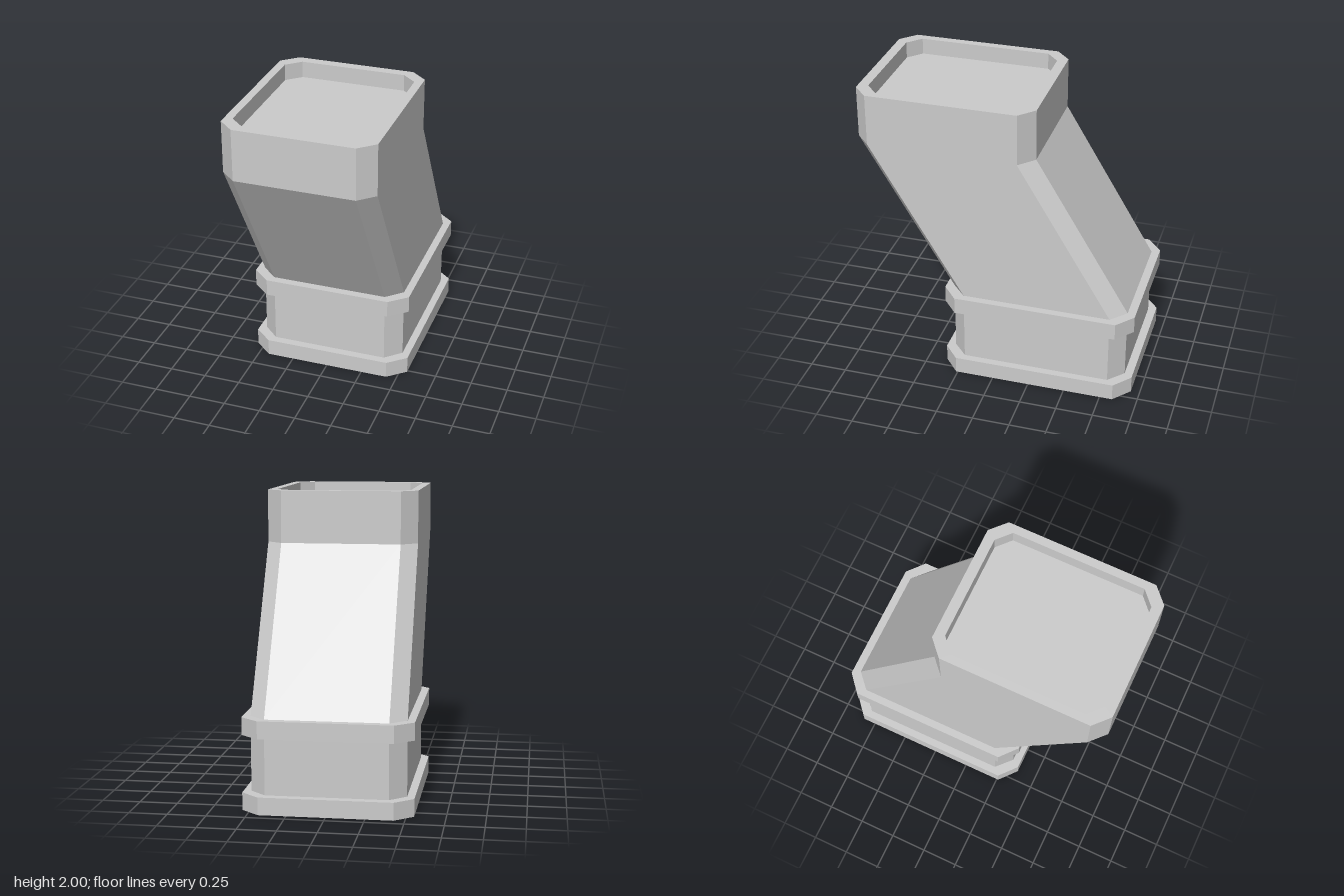
import * as THREE from 'three';

const material = new THREE.MeshStandardMaterial({ color: 0xcccccc, flatShading: true });

// Chamfered rectangle at height y, centred on z; hx, hz are half sizes,
// cx, cz are where the straight sides end.
function ring(y, z, hx, hz, cx, cz) {
  return [
    [hx, -cz], [cx, -hz], [-cx, -hz], [-hx, -cz],
    [-hx, cz], [-cx, hz], [cx, hz], [hx, cz],
  ].map(([px, pz]) => new THREE.Vector3(px, y, z + pz));
}

// Joins the rings in order and closes both ends.
function loft(name, rings) {
  const points = [];
  const n = rings[0].length;
  for (let r = 0; r < rings.length - 1; r++) {
    const a = rings[r], b = rings[r + 1];
    for (let i = 0; i < n; i++) {
      const j = (i + 1) % n;
      points.push(a[i], a[j], b[j], a[i], b[j], b[i]);
    }
  }
  const first = rings[0], last = rings[rings.length - 1];
  for (let i = 1; i < n - 1; i++) {
    points.push(first[0], first[i + 1], first[i]);
    points.push(last[0], last[i], last[i + 1]);
  }
  const geometry = new THREE.BufferGeometry().setFromPoints(points);
  geometry.computeVertexNormals();
  const mesh = new THREE.Mesh(geometry, material);
  mesh.name = name;
  return mesh;
}

export function createModel() {
  const group = new THREE.Group();
  group.name = 'offsetDuct';
  const baseZ = -0.2875, topZ = 0.3425;

  // Duct: upright base, slanted middle, upright mouth with a sunken floor
  const section = (y, z) => ring(y, z, 0.5, 0.5975, 0.395, 0.5);
  const recess = (y) => ring(y, topZ, 0.445, 0.53, 0.352, 0.445);
  group.add(loft('duct', [
    section(0.06, baseZ), section(0.605, baseZ),
    section(1.655, topZ), section(2, topZ),
    recess(2), recess(1.89),
  ]));

  // Collars around the foot and the top of the base
  const collar = (y) => ring(y, baseZ, 0.55, 0.6525, 0.43, 0.549);
  for (const [name, y] of [['lowerCollar', 0], ['upperCollar', 0.49]]) {
    group.add(loft(name, [collar(y), collar(y + 0.115)]));
  }
  return group;
}
